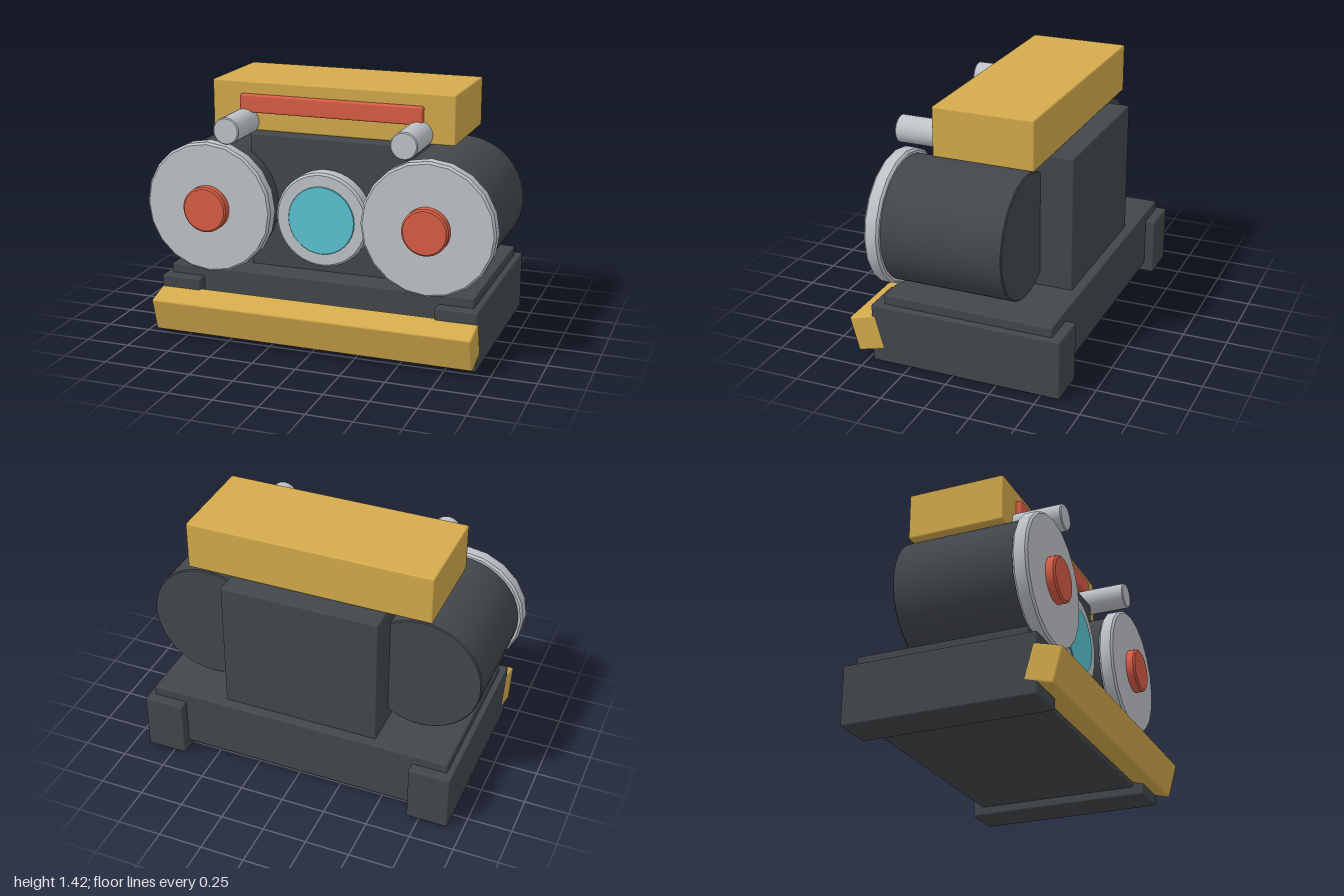
import * as THREE from 'three';
import { toCreasedNormals } from 'three/addons/utils/BufferGeometryUtils.js';
import { RoundedBoxGeometry } from 'three/addons/geometries/RoundedBoxGeometry.js';

const material = (name, color) => {
  const m = new THREE.MeshStandardMaterial({ color });
  m.name = name;
  return m;
};

export function createModel() {
  const model = new THREE.Group();
  model.name = 'machine';
  const dark = material('dark grey', 0x43474b);
  const gold = material('gold', 0xd4aa4c);
  const red = material('red', 0xd95d45);
  const silver = material('silver', 0xbfc3c8);
  const cyan = material('cyan', 0x5bc6d4);

  const add = (name, geometry, mat) => {
    const mesh = new THREE.Mesh(geometry, mat);
    mesh.name = name;
    model.add(mesh);
    return mesh;
  };

  // Softly rounded box given by its extents on each axis
  const box = (name, mat, [x0, x1], [y0, y1], [z0, z1], bevel = 0.01) => {
    const mesh = add(name, new RoundedBoxGeometry(x1 - x0, y1 - y0, z1 - z0, 2, bevel), mat);
    mesh.position.set((x0 + x1) / 2, (y0 + y1) / 2, (z0 + z1) / 2);
    return mesh;
  };

  // Bevelled round part lying along z
  const round = (name, mat, x, y, radius, z0, z1, bevel = 0.01, sides = 32) => {
    const profile = [
      [0, z0], [radius - bevel, z0], [radius, z0 + bevel],
      [radius, z1 - bevel], [radius - bevel, z1], [0, z1],
    ].map(([r, z]) => new THREE.Vector2(r, z));
    const geometry = new THREE.LatheGeometry(profile, sides).rotateX(Math.PI / 2);
    const mesh = add(name, toCreasedNormals(geometry, 0.6), mat);
    mesh.position.set(x, y, 0);
    return mesh;
  };

  // Base and central tower
  box('base', dark, [-0.88, 0.88], [0.05, 0.39], [-0.55, 0.41]);
  box('tower', dark, [-0.45, 0.45], [0.37, 1.145], [-0.495, 0.26]);

  // Tilted front bumper
  const bumper = add('bumper', new RoundedBoxGeometry(1.834, 0.2, 0.164, 2, 0.012), gold);
  bumper.position.set(0, 0.156, 0.503);
  bumper.rotation.x = 0.27;

  // Top housing with its front strip
  box('topHousing', gold, [-0.7, 0.7], [1.145, 1.42], [-0.375, 0.19]);
  box('topStrip', red, [-0.525, 0.525], [1.25, 1.35], [0.15, 0.225]);

  // Mirrored skids, drums, end plates, hubs and pipes
  for (const [side, s] of [['left', 1], ['right', -1]]) {
    const x = s * 0.627;
    box(side + 'Skid', dark, s > 0 ? [0.68, 0.915] : [-0.915, -0.68], [0, 0.335], [-0.607, 0.472]);
    round(side + 'Drum', dark, x, 0.75, 0.343, -0.31, 0.38, 0.006, 40);
    round(side + 'EndPlate', silver, x, 0.75, 0.37, 0.368, 0.453, 0.012, 20);
    round(side + 'Hub', red, x, 0.75, 0.128, 0.44, 0.505, 0.01, 32);
    round(side + 'Pipe', silver, s * 0.5, 1.195, 0.075, -0.01, 0.472, 0.006, 24);
  }

  // Central porthole
  round('portholeRing', silver, 0, 0.71, 0.265, 0.25, 0.348, 0.012, 40);
  round('portholeGlass', cyan, 0, 0.71, 0.191, 0.346, 0.355, 0.003, 32);

  return model;
}
